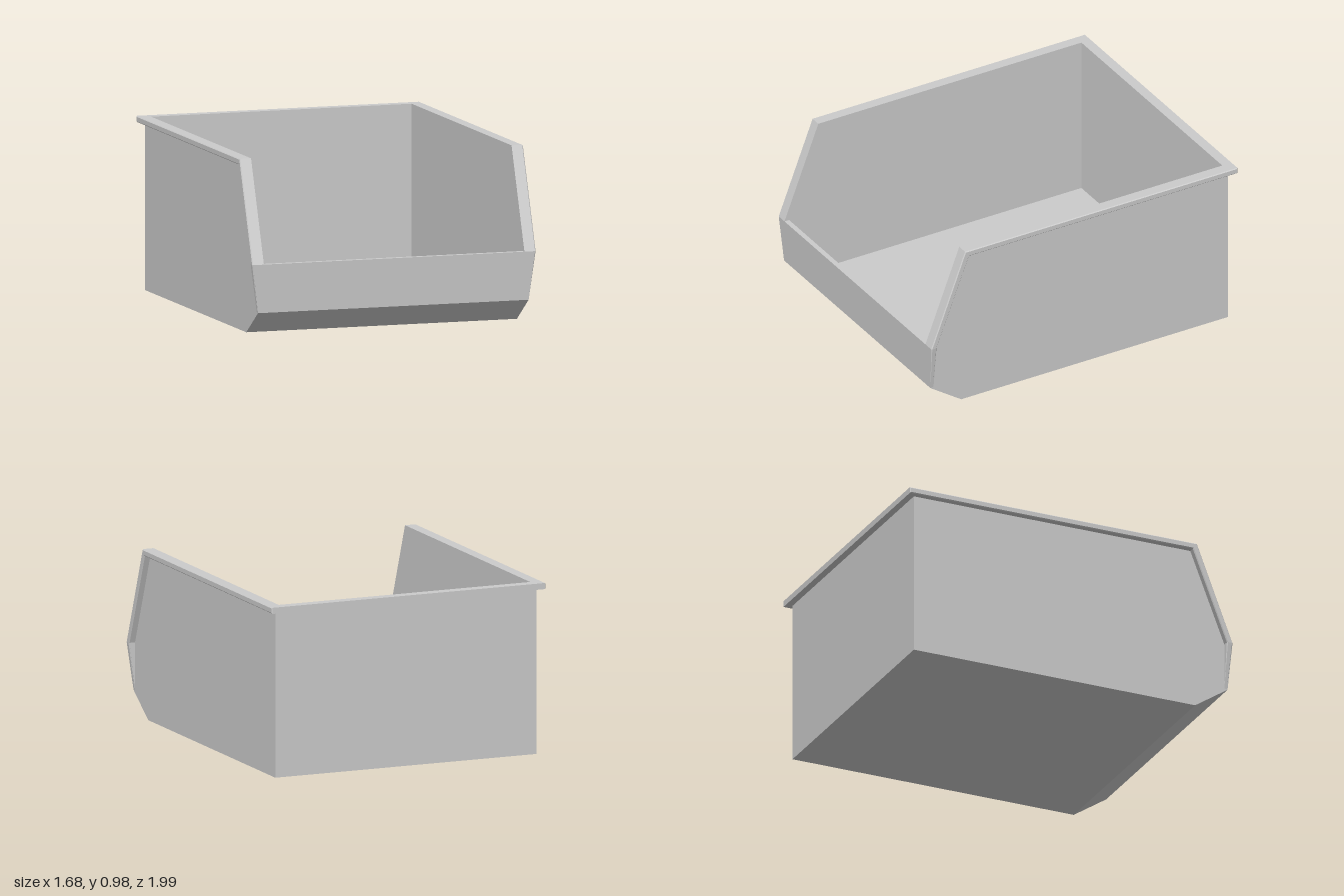
import * as THREE from 'three';

const HALF = 0.80;    // outer face of the side walls
const INNER = 0.77;   // inner face of the side walls
const RIM = 0.838;    // outer edge of the rim

const material = new THREE.MeshStandardMaterial({ color: 0xcccccc, flatShading: true });

// Extrudes a [z, y] outline across x from x0 to x1, with an optional small bevel kept inside the outline
function prism(outline, x0, x1, bevel = 0) {
  const shape = new THREE.Shape(outline.map(([z, y]) => new THREE.Vector2(z, y)));
  const geometry = new THREE.ExtrudeGeometry(shape, {
    depth: x1 - x0 - 2 * bevel,
    bevelEnabled: bevel > 0,
    bevelSize: bevel,
    bevelThickness: bevel,
    bevelOffset: -bevel,
    bevelSegments: 1,
  });
  geometry.rotateY(-Math.PI / 2);
  geometry.translate(x1 - bevel, 0, 0);
  return geometry;
}

// Narrows the rim to the wall face below the front lip
function taperRim(geometry) {
  const p = geometry.attributes.position;
  for (let i = 0; i < p.count; i++) {
    const x = p.getX(i);
    const over = Math.abs(x) - HALF;
    if (over <= 0) continue;
    const f = THREE.MathUtils.clamp((p.getY(i) - 0.135) / 0.275, 0, 1);
    p.setX(i, Math.sign(x) * (HALF + over * f));
  }
  geometry.computeVertexNormals();
  return geometry;
}

export function createModel() {
  const group = new THREE.Group();
  const add = (name, geometry) => {
    const mesh = new THREE.Mesh(geometry, material);
    mesh.name = name;
    group.add(mesh);
  };

  // Back wall, floor, front ramp and front lip as one folded sheet
  add('floorAndEndWalls', prism([
    [-0.955, 0.98], [-0.955, 0], [0.78, 0], [0.98, 0.135], [0.995, 0.41],
    [0.965, 0.41], [0.955, 0.15], [0.77, 0.03], [-0.935, 0.03], [-0.935, 0.98],
  ], -INNER, INNER));

  const sideOutline = [
    [-0.955, 0], [0.78, 0], [0.98, 0.135], [0.995, 0.41], [0.775, 0.98], [-0.955, 0.98],
  ];
  // Strip along the top and down the sloping front edge
  const rimOutline = [
    [-0.98, 0.945], [0.75, 0.945], [0.96, 0.41], [0.96, 0.14],
    [0.98, 0.135], [0.995, 0.41], [0.775, 0.98], [-0.98, 0.98],
  ];

  for (const [side, s] of [['left', 1], ['right', -1]]) {
    const span = (a, b) => (s > 0 ? [a, b] : [-b, -a]);
    add(side + 'Wall', prism(sideOutline, ...span(INNER, HALF)));
    add(side + 'Rim', taperRim(prism(rimOutline, ...span(0.785, RIM), 0.005)));
  }

  // Rim across the back
  add('backRim', prism([
    [-0.995, 0.945], [-0.94, 0.945], [-0.94, 0.98], [-0.995, 0.98],
  ], -RIM, RIM, 0.005));

  return group;
}
